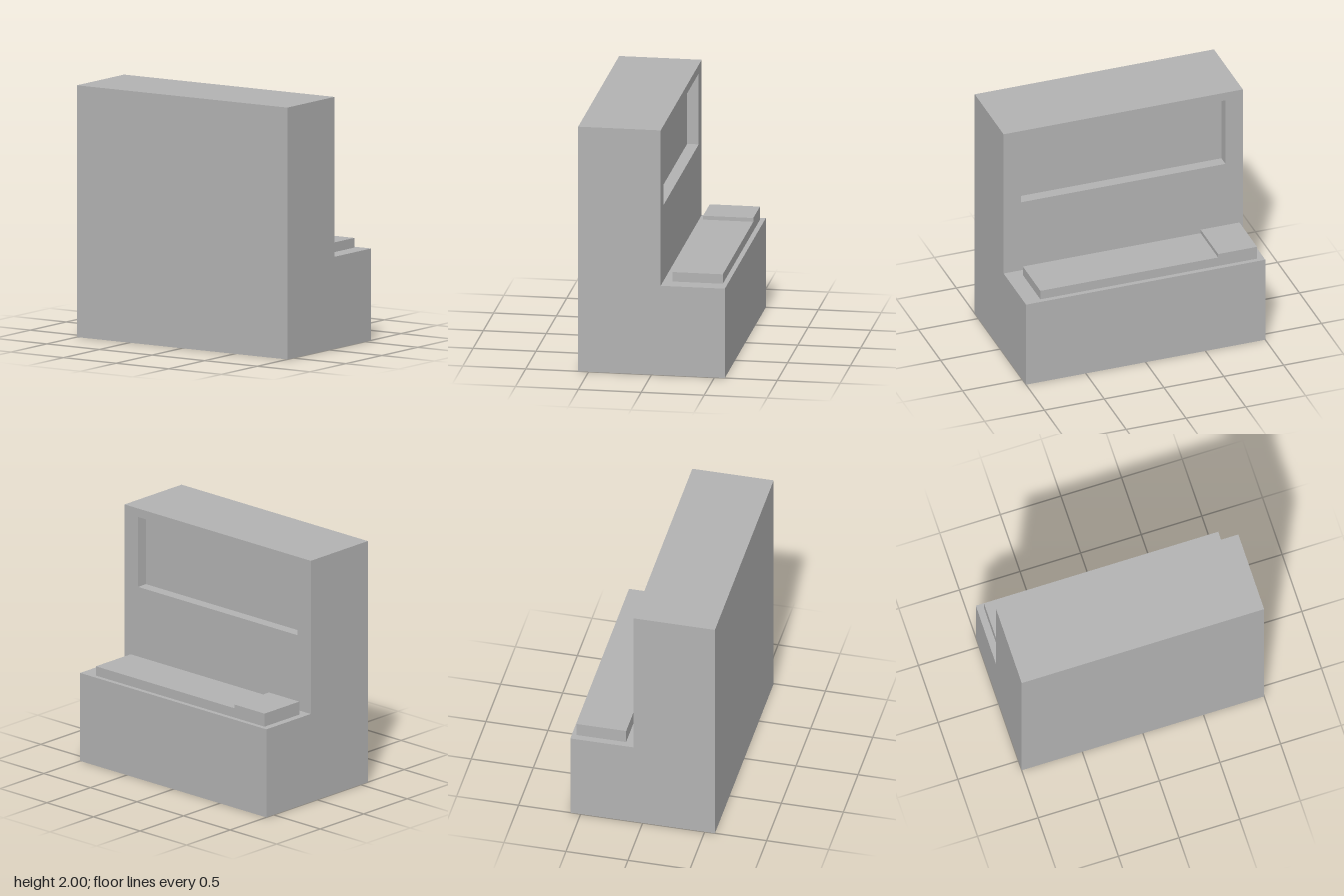
import * as THREE from 'three';

const W = 1, FRONT = 0.583, BACK = -0.583; // half width and depth limits
const BENCH_Y = 0.73, TOP_Y = 2;
const PANEL_Z = -0.073, RECESS = 0.092;    // rear face of the upright, recess depth

// Closed shape from a list of [x, y] points
const polygon = (Type, pts) => new Type(pts.map(([x, y]) => new THREE.Vector2(x, y)));
const rect = (x0, x1, y0, y1) => [[x0, y0], [x1, y0], [x1, y1], [x0, y1]];

export function createModel() {
  const group = new THREE.Group();
  const grey = new THREE.MeshStandardMaterial({ color: 0xb2b2b2 });
  grey.name = 'grey';

  const add = (name, geometry) => {
    const mesh = new THREE.Mesh(geometry, grey);
    mesh.name = name;
    group.add(mesh);
  };
  const addBox = (name, x0, x1, y0, y1, z0, z1) => {
    const g = new THREE.BoxGeometry(x1 - x0, y1 - y0, z1 - z0);
    add(name, g.translate((x0 + x1) / 2, (y0 + y1) / 2, (z0 + z1) / 2));
  };

  // L-shaped side profile (z, y) swept across the width
  const inner = PANEL_Z + RECESS;
  const profile = polygon(THREE.Shape, [
    [BACK, 0], [FRONT, 0], [FRONT, TOP_Y], [inner, TOP_Y], [inner, BENCH_Y], [BACK, BENCH_Y],
  ]);
  const body = new THREE.ExtrudeGeometry(profile, { depth: 2 * W, bevelEnabled: false });
  add('body', body.rotateY(-Math.PI / 2).translate(W, 0, 0));

  // Rear frame of the upright around the shallow window recess
  const frame = polygon(THREE.Shape, rect(-W, W, BENCH_Y, TOP_Y));
  frame.holes.push(polygon(THREE.Path, rect(-0.855, 0.855, 1.35, 1.93)));
  const frameGeometry = new THREE.ExtrudeGeometry(frame, { depth: RECESS, bevelEnabled: false });
  add('recessFrame', frameGeometry.translate(0, 0, PANEL_Z));

  // Low slab on the bench with a raised block at one end
  addBox('benchSlab', -0.62, 0.866, BENCH_Y, 0.807, -0.545, -0.146);
  addBox('raisedBlock', -0.945, -0.62, BENCH_Y, 0.838, -0.545, -0.146);

  return group;
}
